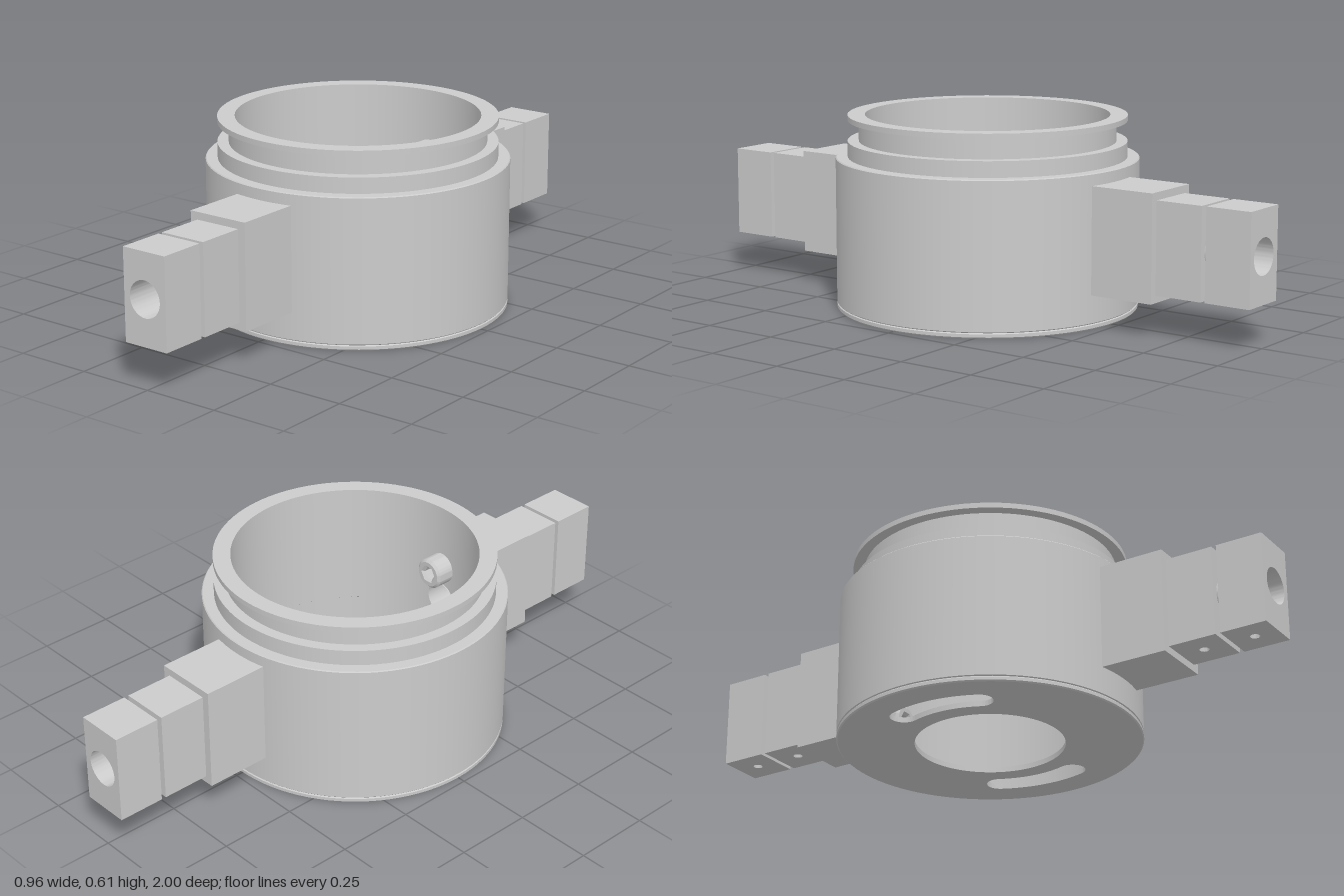
import * as THREE from 'three';
import { mergeGeometries, toCreasedNormals } from 'three/addons/utils/BufferGeometryUtils.js';
import { ParametricGeometry } from 'three/addons/geometries/ParametricGeometry.js';

const SEG = 96;
const R_IN = 0.385;      // inner wall radius
const BORE = 0.057;      // bore through the arms and wall
const MID_Y = 0.275;     // height of the arm axis
const PATCH = 0.07;      // half size of the wall patch around the bore
const grey = new THREE.MeshStandardMaterial({ color: 0xcccccc });
const greyDouble = new THREE.MeshStandardMaterial({ color: 0xcccccc, side: THREE.DoubleSide });

function add(parent, name, geometry, material = grey) {
  const mesh = new THREE.Mesh(geometry, material);
  mesh.name = name;
  parent.add(mesh);
  return mesh;
}

// Revolve a profile with sharp corners at every point
function revolve(profile, start = 0, length = Math.PI * 2) {
  const bands = [];
  for (let i = 0; i + 1 < profile.length; i++) {
    const pair = [profile[i], profile[i + 1]].map(([r, y]) => new THREE.Vector2(r, y));
    bands.push(new THREE.LatheGeometry(pair, SEG, start, length));
  }
  return mergeGeometries(bands);
}

function extrude(shape, depth, options = {}) {
  const g = new THREE.ExtrudeGeometry(shape, { depth, bevelEnabled: false, curveSegments: 32, ...options });
  return toCreasedNormals(g, 0.5);
}

function circle(r, x = 0, y = 0, Kind = THREE.Path) {
  const p = new Kind();
  p.absarc(x, y, r, 0, Math.PI * 2, false);
  return p;
}

function rectangle(x0, y0, x1, y1) {
  return new THREE.Shape([[x0, y0], [x1, y0], [x1, y1], [x0, y1]].map(([x, y]) => new THREE.Vector2(x, y)));
}

// Curved slot between two angles
function arcSlot(r, half, a0, a1) {
  const p = new THREE.Path();
  p.absarc(0, 0, r + half, a0, a1, false);
  p.absarc(r * Math.cos(a1), r * Math.sin(a1), half, a1, a1 + Math.PI, false);
  p.absarc(0, 0, r - half, a1, a0, true);
  p.absarc(r * Math.cos(a0), r * Math.sin(a0), half, a0 + Math.PI, a0 + Math.PI * 2, false);
  p.closePath();
  return p;
}

// Piece of the inner wall between a square edge and the round bore
function wallPatch() {
  const g = new ParametricGeometry((u, v, target) => {
    const a = u * Math.PI * 2, c = Math.cos(a), s = Math.sin(a);
    const edge = PATCH / Math.max(Math.abs(c), Math.abs(s));
    const d = BORE + (edge - BORE) * v;
    target.set(c * d, MID_Y + s * d, Math.sqrt(R_IN * R_IN - c * c * d * d));
  }, 64, 4);
  const p = g.attributes.position, n = g.attributes.normal;
  for (let i = 0; i < p.count; i++) n.setXYZ(i, -p.getX(i) / R_IN, 0, -p.getZ(i) / R_IN);
  // face the triangles towards the axis
  const idx = g.index.array, v = [0, 1, 2].map(() => new THREE.Vector3());
  for (let i = 0; i < idx.length; i += 3) {
    v.forEach((q, k) => q.fromBufferAttribute(p, idx[i + k]));
    const facing = v[1].clone().sub(v[0]).cross(v[2].clone().sub(v[0])).z;
    if (facing > 0) [idx[i + 1], idx[i + 2]] = [idx[i + 2], idx[i + 1]];
  }
  return g;
}

// Block with a bore along z and a small screw hole in its underside
function clampBlock(w, y0, y1, z0, z1) {
  const split = 0.2;
  const upper = rectangle(-w, split, w, y1);
  upper.holes.push(circle(BORE, 0, MID_Y));
  const lower = rectangle(-w, -z1, w, -z0);
  lower.holes.push(circle(0.015, 0, -(z0 + z1) / 2));
  return mergeGeometries([
    extrude(upper, z1 - z0).translate(0, 0, z0),
    extrude(lower, split - y0).rotateX(-Math.PI / 2).translate(0, y0, 0),
  ]);
}

function socketScrew() {
  const shape = circle(0.042, 0, 0, THREE.Shape);
  const hex = [];
  for (let i = 0; i < 6; i++) {
    const a = i * Math.PI / 3;
    hex.push(new THREE.Vector2(0.031 * Math.cos(a), 0.031 * Math.sin(a)));
  }
  shape.holes.push(new THREE.Path(hex));
  const head = extrude(shape, 0.06, { bevelEnabled: true, bevelSize: 0.008, bevelThickness: 0.008, bevelSegments: 1 });
  const core = new THREE.CylinderGeometry(0.038, 0.038, 0.03, 24).rotateX(Math.PI / 2).toNonIndexed();
  return mergeGeometries([head.translate(0, 0, 0.328), core.translate(0, 0, 0.372)]);
}

function makeArm() {
  const arm = new THREE.Group();

  const root = rectangle(-0.103, 0.107, 0.103, 0.442);
  root.holes.push(circle(BORE, 0, MID_Y));
  add(arm, 'armRoot', extrude(root, 0.23).translate(0, 0, 0.45));

  add(arm, 'innerClampBlock', clampBlock(0.078, 0.13, 0.418, 0.68, 0.835));
  add(arm, 'outerClampBlock', clampBlock(0.078, 0.13, 0.418, 0.85, 1));

  // Thin tube showing between the two clamp blocks
  const neck = circle(0.059, 0, MID_Y, THREE.Shape);
  neck.holes.push(circle(BORE, 0, MID_Y));
  add(arm, 'neck', extrude(neck, 0.025).translate(0, 0, 0.83));

  const liner = new THREE.CylinderGeometry(BORE, BORE, 0.074, 64, 1, true).rotateX(Math.PI / 2);
  add(arm, 'wallBore', liner.translate(0, MID_Y, 0.418), greyDouble);
  add(arm, 'wallAroundBore', wallPatch());

  // Screws that hold the arm, seen inside the housing
  for (const dy of [-0.12, 0.12]) {
    add(arm, 'socketScrew', socketScrew()).position.y = MID_Y + dy;
  }
  return arm;
}

export function createModel() {
  const model = new THREE.Group();
  model.name = 'housingWithArms';

  // Housing: outer steps, rim, then the upper inner wall
  add(model, 'housingShell', revolve([
    [0.474, 0], [0.478, 0.004], [0.478, 0.014], [0.475, 0.017], [0.478, 0.02],
    [0.478, 0.477], [0.475, 0.48], [0.44, 0.48], [0.44, 0.53], [0.405, 0.53],
    [0.405, 0.595], [0.44, 0.595], [0.44, 0.612], [R_IN, 0.612], [R_IN, MID_Y + PATCH],
  ]));

  // Inner wall, left open where the bores pass through
  const gap = Math.asin(PATCH / R_IN);
  const band = [[R_IN, MID_Y + PATCH], [R_IN, MID_Y - PATCH]];
  add(model, 'innerWall', mergeGeometries([
    revolve(band, gap, Math.PI - 2 * gap),
    revolve(band, Math.PI + gap, Math.PI - 2 * gap),
    revolve([[R_IN, MID_Y - PATCH], [R_IN, 0.017]]),
  ]));

  // Floor with a central opening and two curved slots
  const floor = circle(0.474, 0, 0, THREE.Shape);
  floor.holes.push(circle(0.235));
  for (const turn of [0, Math.PI]) floor.holes.push(arcSlot(0.337, 0.043, turn - 0.31, turn + 0.48));
  add(model, 'floorPlate', extrude(floor, 0.017, { curveSegments: 48 }).rotateX(-Math.PI / 2));

  // Front and back arms
  ['frontArm', 'backArm'].forEach((name, i) => {
    const arm = makeArm();
    arm.name = name;
    arm.rotation.y = i * Math.PI;
    model.add(arm);
  });
  return model;
}
